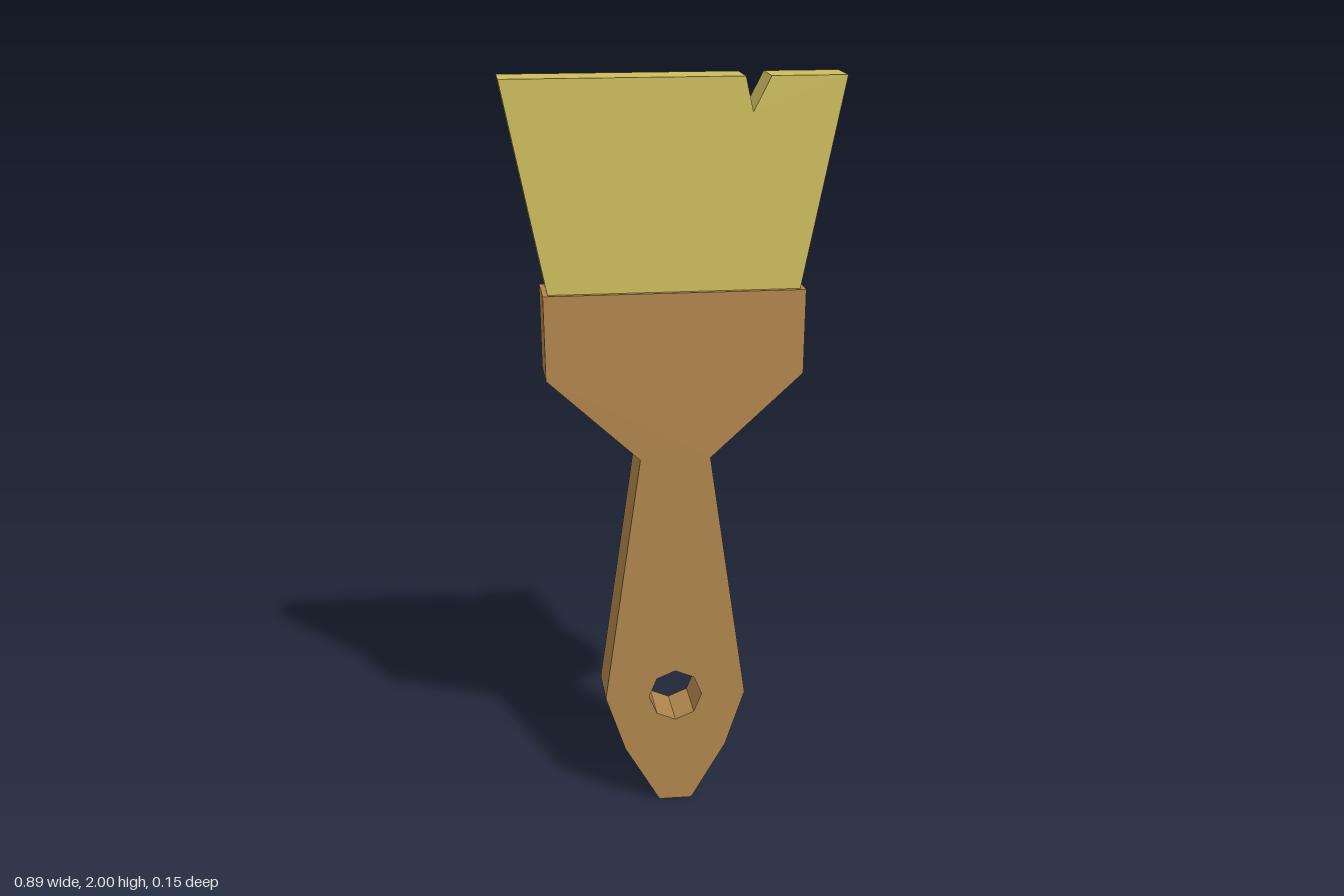
import * as THREE from 'three';

// Flat plate cut from an outline and centred on z = 0
function plate(name, shape, depth, material) {
  const geometry = new THREE.ExtrudeGeometry(shape, { depth, bevelEnabled: false });
  geometry.translate(0, 0, -depth / 2);
  const mesh = new THREE.Mesh(geometry, material);
  mesh.name = name;
  return mesh;
}

const toShape = (points) => new THREE.Shape(points.map(([x, y]) => new THREE.Vector2(x, y)));

export function createModel() {
  const wood = new THREE.MeshStandardMaterial({ color: 0xb0854c, flatShading: true });
  wood.name = 'wood';
  const straw = new THREE.MeshStandardMaterial({ color: 0xcdbd5c, flatShading: true });
  straw.name = 'straw';

  const group = new THREE.Group();
  group.name = 'paintbrush';

  // Handle: right-hand profile from the tip up, mirrored to the other side
  const half = [[0.045, 0], [0.14, 0.16], [0.193, 0.315], [0.094, 1.0], [0.34, 1.225], [0.344, 1.45]];
  const mirrored = half.map(([x, y]) => [-x, y]).reverse();
  const handleShape = toShape([...half, ...mirrored]);

  // Octagonal hanging hole
  const hole = [];
  for (let i = 0; i < 8; i++) {
    const a = (i / 8) * Math.PI * 2;
    hole.push(new THREE.Vector2(0.073 * Math.cos(a), 0.315 + 0.073 * Math.sin(a)));
  }
  handleShape.holes.push(new THREE.Path(hole));
  group.add(plate('handle', handleShape, 0.154, wood));

  // Flared bristles with a notch in the top edge
  const bristleShape = toShape([
    [-0.33, 1.445], [0.33, 1.445], [0.444, 2],
    [0.247, 2], [0.201, 1.91], [0.181, 2], [-0.444, 2],
  ]);
  group.add(plate('bristles', bristleShape, 0.124, straw));

  return group;
}
